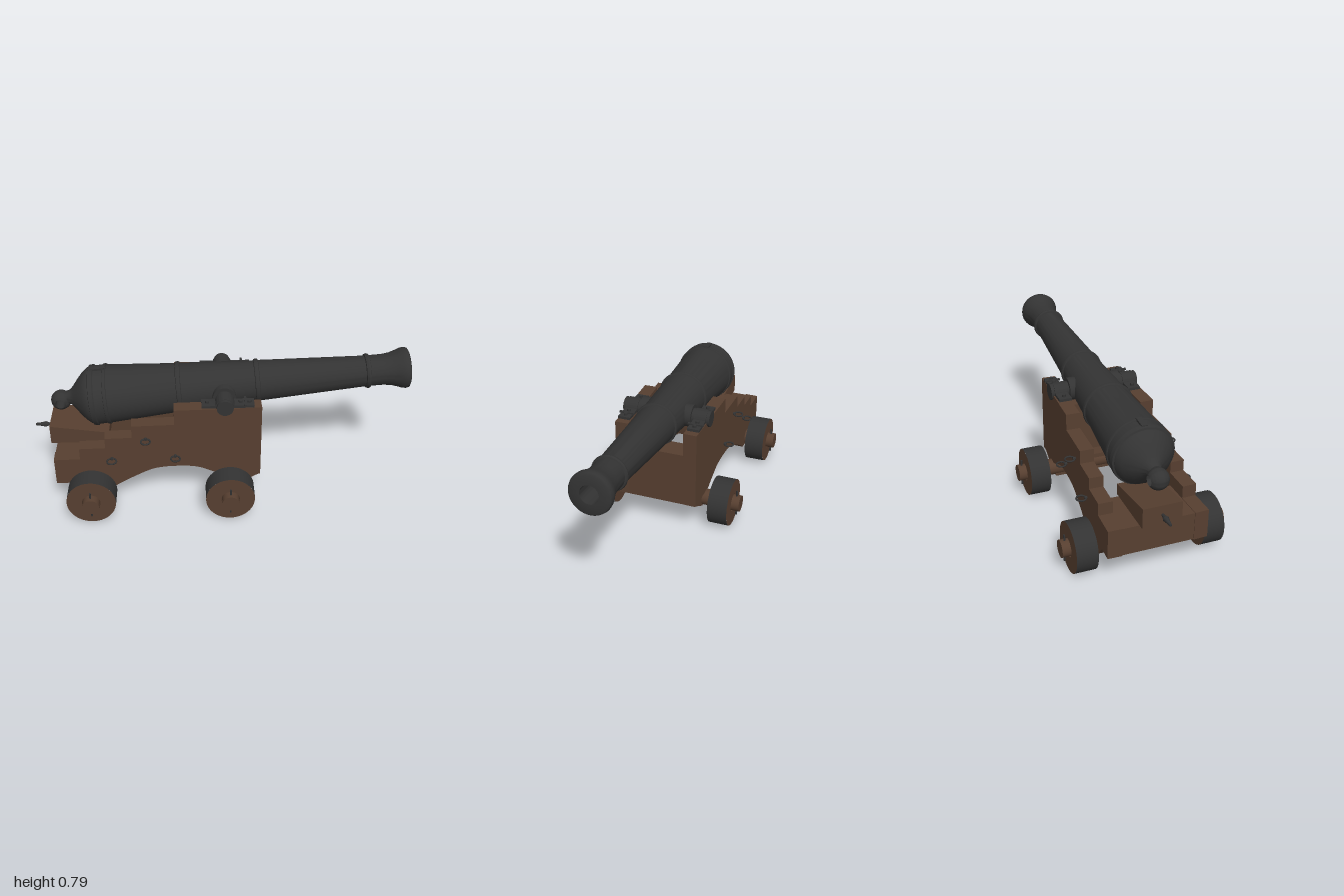
import * as THREE from 'three';
import { toCreasedNormals } from 'three/addons/utils/BufferGeometryUtils.js';

const iron = new THREE.MeshStandardMaterial({ color: 0x333333 });
iron.name = 'dark iron';
const wood = new THREE.MeshStandardMaterial({ color: 0x573f30 });
wood.name = 'brown wood';

const V = (p) => p.map(([x, y]) => new THREE.Vector2(x, y));

function add(parent, name, geometry, material, x = 0, y = 0, z = 0) {
  const mesh = new THREE.Mesh(geometry, material);
  mesh.name = name;
  mesh.position.set(x, y, z);
  parent.add(mesh);
  return mesh;
}

// Lathe from [along, radius] pairs, turned about the x axis
function latheX(points, segments = 48) {
  const g = new THREE.LatheGeometry(V(points.map(([a, r]) => [r, a])), segments);
  return toCreasedNormals(g.rotateZ(-Math.PI / 2), 0.6);
}

// Lathe turned about the z axis
function latheZ(points, segments = 40) {
  const g = new THREE.LatheGeometry(V(points.map(([a, r]) => [r, a])), segments);
  return toCreasedNormals(g.rotateX(Math.PI / 2), 0.6);
}

// Side outline extruded evenly about z = 0
function slab(shape, depth) {
  const g = new THREE.ExtrudeGeometry(shape, { depth, bevelEnabled: false, curveSegments: 16 });
  return toCreasedNormals(g.translate(0, 0, -depth / 2), 0.5);
}

const rod = (r, length) => new THREE.CylinderGeometry(r, r, length, 32).rotateX(Math.PI / 2);

// Rounded reinforcing ring on the barrel
function band(x, r, h, w) {
  return [[x - w, r], [x - w * 0.8, r + h * 0.7], [x, r + h], [x + w * 0.8, r + h * 0.7], [x + w, r]];
}

function buildBarrel() {
  const barrel = new THREE.Group();
  barrel.name = 'barrel';
  const px = 0.012;
  const profile = [
    [-0.82, 0], [-0.815, 0.034], [-0.795, 0.04], [-0.775, 0.062], [-0.75, 0.094],
    [-0.72, 0.128], [-0.695, 0.148], [-0.685, 0.15], [-0.682, 0.159], [-0.66, 0.162], [-0.655, 0.156],
    ...band(-0.6, 0.154, 0.007, 0.01),
    ...band(-0.22, 0.129, 0.009, 0.013),
    ...band(0.19, 0.107, 0.009, 0.013),
    ...band(0.77, 0.081, 0.011, 0.013),
    [0.85, 0.081], [0.89, 0.086], [0.925, 0.097], [0.95, 0.106], [0.968, 0.108], [0.982, 0.104], [0.988, 0.094],
    [0.988, 0.047], [0.32, 0.047], [0.32, 0],
  ].map(([x, r]) => [x - px, r]);
  add(barrel, 'gunBarrel', latheX(profile, 64), iron);

  // Pierced ball at the breech
  const ball = [];
  for (let i = 0; i <= 16; i++) {
    const a = -1.05 + (2.1 * i) / 16;
    ball.push([Math.sin(a) * 0.053, Math.cos(a) * 0.053]);
  }
  ball.push(ball[0]);
  add(barrel, 'breechRing', latheZ(ball), iron, -0.862, -0.012, 0);

  // Vent patch, trunnions and their shoulders
  add(barrel, 'vent', new THREE.BoxGeometry(0.075, 0.012, 0.03), iron, -0.645, 0.159, 0);
  add(barrel, 'trunnions', rod(0.043, 0.48), iron);
  add(barrel, 'trunnionShoulders', rod(0.06, 0.285), iron);

  barrel.position.set(px, 0.602, 0);
  barrel.rotation.z = 0.079;
  return barrel;
}

function buildCheek(side) {
  const cheek = new THREE.Group();
  cheek.name = side > 0 ? 'leftCheek' : 'rightCheek';
  const s = new THREE.Shape(V([
    [0.2, 0.165], [0.2, 0.595], [-0.25, 0.595], [-0.25, 0.508], [-0.47, 0.508], [-0.47, 0.437],
    [-0.61, 0.437], [-0.61, 0.378], [-0.745, 0.378], [-0.745, 0.313], [-0.88, 0.313], [-0.88, 0.16],
    [-0.8, 0.16], [-0.74, 0.09], [-0.62, 0.09], [-0.56, 0.135],
  ]));
  s.splineThru(V([[-0.46, 0.19], [-0.36, 0.233], [-0.25, 0.243], [-0.14, 0.233], [-0.05, 0.195], [0, 0.17]]));
  s.closePath();
  add(cheek, 'cheekBoard', slab(s, 0.072), wood);

  // Rope rings on the outer face
  for (const [x, y] of [[-0.58, 0.313], [-0.4, 0.43], [-0.25, 0.313]]) {
    add(cheek, 'ropeRing', new THREE.TorusGeometry(0.024, 0.0045, 8, 28).rotateX(Math.PI / 2), iron, x, y, side * 0.066);
    add(cheek, 'ringEye', rod(0.007, 0.02), iron, x, y, side * 0.04);
  }
  cheek.position.z = side * 0.193;
  cheek.rotation.y = side * 0.03;
  return cheek;
}

// Strap over a trunnion: flat feet with an arch between
function buildCap(side) {
  const cap = new THREE.Group();
  cap.name = 'trunnionCap';
  const s = new THREE.Shape();
  s.moveTo(-0.12, 0);
  s.lineTo(-0.12, 0.014);
  s.lineTo(-0.05, 0.014);
  s.absarc(0, 0.002, 0.05, Math.PI - 0.25, 0.25, true);
  s.lineTo(0.15, 0.014);
  s.lineTo(0.15, 0);
  s.closePath();
  add(cap, 'capStrap', slab(s, 0.066), iron);
  for (const x of [-0.09, 0.08, 0.125]) {
    add(cap, 'capBolt', new THREE.CylinderGeometry(0.01, 0.01, 0.024, 12), iron, x, 0.014, 0);
  }
  add(cap, 'capKey', new THREE.BoxGeometry(0.012, 0.008, 0.085), iron, 0.105, 0.018, 0);
  cap.position.set(0.012, 0.595, side * 0.19);
  return cap;
}

function buildWheel(x, side) {
  const wheel = new THREE.Group();
  wheel.name = 'wheel';
  const w = 0.054;
  const R = 0.128;
  add(wheel, 'wheelBody', latheZ([[w, R], [w, 0.048], [-w, 0.048], [-w, R]]), wood);
  add(wheel, 'wheelTread', new THREE.CylinderGeometry(R, R, w * 2, 48, 1, true).rotateX(Math.PI / 2), iron);
  add(wheel, 'linchpin', new THREE.CylinderGeometry(0.005, 0.005, 0.15, 10), iron, 0, 0.002, side * 0.073);
  wheel.position.set(x, R, side * 0.329);
  return wheel;
}

export function createModel() {
  const model = new THREE.Group();
  model.name = 'cannon';
  model.add(buildBarrel());

  for (const side of [1, -1]) {
    model.add(buildCheek(side), buildCap(side));
    for (const x of [-0.69, 0.035]) model.add(buildWheel(x, side));
  }
  for (const x of [-0.69, 0.035]) add(model, 'axle', rod(0.044, 0.85), wood, x, 0.13, 0);

  // Crosswise timbers between the cheeks
  add(model, 'frontTransom', new THREE.BoxGeometry(0.12, 0.3, 0.31), wood, 0.139, 0.315, 0);
  const frontBed = new THREE.Shape(V([[0.198, 0.165], [0.0, 0.18], [0.0, 0.087], [0.065, 0.087]]));
  add(model, 'frontAxleBed', slab(frontBed, 0.435), wood);
  const rearBed = new THREE.Shape(V([
    [-0.878, 0.162], [-0.8, 0.162], [-0.73, 0.088], [-0.64, 0.088], [-0.62, 0.16], [-0.62, 0.31], [-0.878, 0.31],
  ]));
  add(model, 'rearBed', slab(rearBed, 0.4), wood);

  // Elevating wedge with its turned handle
  const wedge = new THREE.Shape(V([[-0.91, 0.311], [-0.6, 0.311], [-0.6, 0.37], [-0.91, 0.417]]));
  add(model, 'elevatingWedge', slab(wedge, 0.2), wood);
  const handle = [[-1, 0], [-0.997, 0.007], [-0.975, 0.009], [-0.945, 0.015], [-0.925, 0.008], [-0.905, 0.007]];
  add(model, 'wedgeHandle', latheX(handle, 16), iron, 0, 0.366, 0);
  return model;
}
